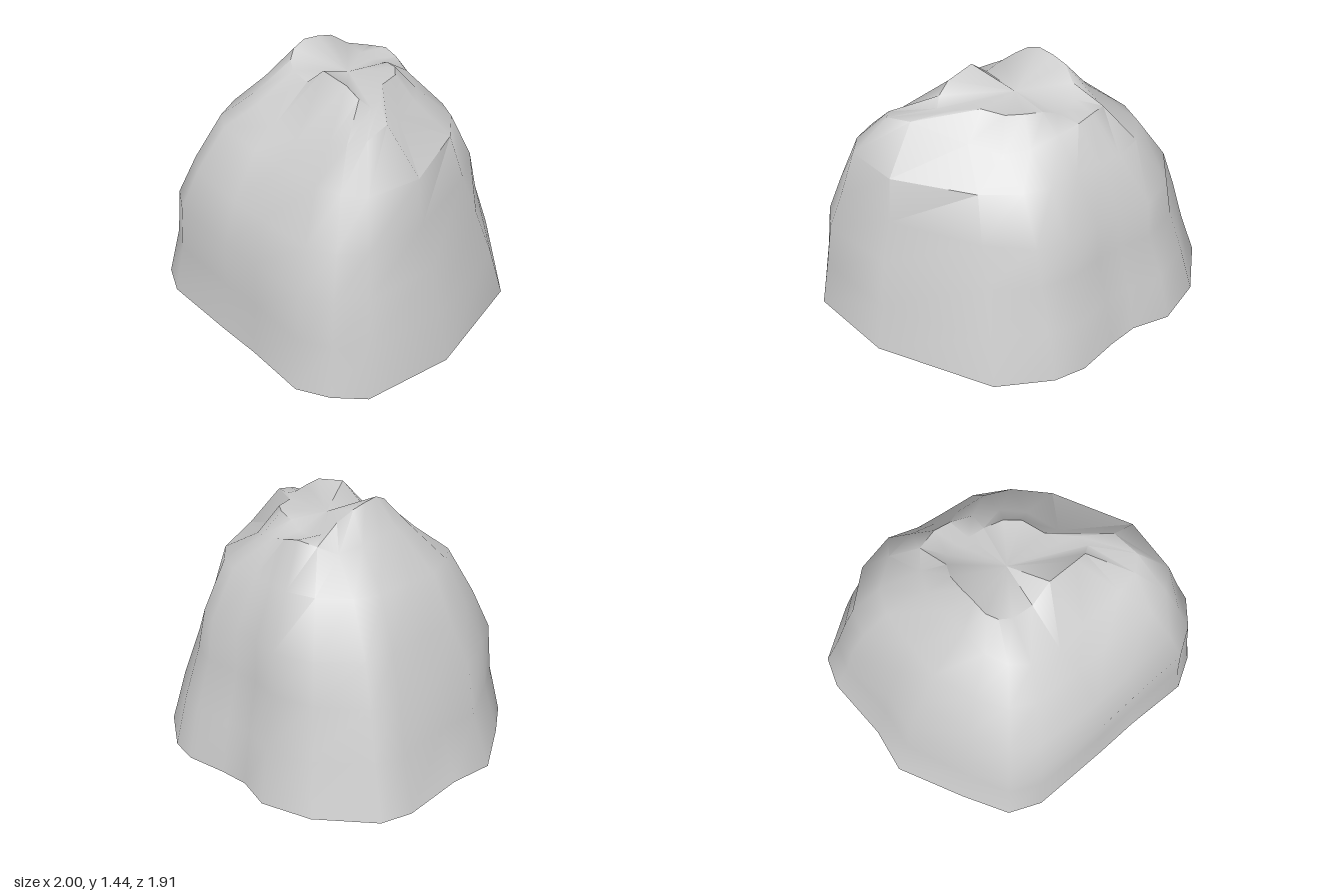
import * as THREE from 'three';
import { toCreasedNormals } from 'three/addons/utils/BufferGeometryUtils.js';

// Ground outline [x, z], running from +x round through +z
const BASE = [
  [1, 0.22], [0.91, 0.74], [0.76, 0.87], [0.58, 0.95], [0.2, 0.9],
  [-0.06, 0.88], [-0.55, 0.83], [-0.73, 0.73], [-0.85, 0.46], [-1, 0.06],
  [-0.93, -0.2], [-0.9, -0.6], [-0.82, -0.77], [-0.5, -0.94], [-0.2, -0.96],
  [0, -0.85], [0.18, -0.82], [0.43, -0.8], [0.6, -0.72], [0.84, -0.48],
];

// Rim of the summit [x, z, y], matched point for point with the ground outline
const RIM = [
  [0.57, 0.26, 1.3], [0.58, 0.42, 1.27], [0.5, 0.48, 1.24], [0.38, 0.49, 1.2], [0.12, 0.46, 1.12],
  [-0.06, 0.46, 1.13], [-0.24, 0.42, 1.18], [-0.33, 0.34, 1.2], [-0.38, 0.22, 1.24], [-0.38, 0.06, 1.27],
  [-0.37, -0.1, 1.27], [-0.35, -0.24, 1.25], [-0.28, -0.36, 1.22], [-0.2, -0.44, 1.27], [-0.08, -0.45, 1.29],
  [0.02, -0.43, 1.27], [0.14, -0.38, 1.24], [0.28, -0.31, 1.2], [0.38, -0.2, 1.18], [0.42, 0, 1.18],
];

// Heights of the peaks and saddles inside the rim
const CREST = [
  1.33, 1.32, 1.36, 1.41, 1.43, 1.32, 1.34, 1.37, 1.41, 1.44,
  1.43, 1.41, 1.35, 1.29, 1.27, 1.28, 1.32, 1.34, 1.34, 1.34,
];

// Wall levels: how far each side has moved from ground outline to rim
const LEVELS = [
  { y: 0.29, xp: 0.13, xn: 0.17, zp: 0.08, zn: 0.13 },
  { y: 0.56, xp: 0.28, xn: 0.24, zp: 0.09, zn: 0.3 },
  { y: 0.79, xp: 0.45, xn: 0.43, zp: 0.29, zn: 0.33 },
  { y: 1.06, xp: 0.51, xn: 0.62, zp: 0.67, zn: 0.69 },
];

function wallRing({ y, xp, xn, zp, zn }) {
  return BASE.map(([x, z], i) => {
    const [rx, rz, ry] = RIM[i];
    const wx = (x * x) / (x * x + z * z);
    const t = wx * (x > 0 ? xp : xn) + (1 - wx) * (z > 0 ? zp : zn);
    return [THREE.MathUtils.lerp(x, rx, t), Math.min(y, ry * 0.92), THREE.MathUtils.lerp(z, rz, t)];
  });
}

function buildGeometry(points, index) {
  const geometry = new THREE.BufferGeometry();
  geometry.setAttribute('position', new THREE.Float32BufferAttribute(points.flat(), 3));
  geometry.setIndex(index);
  return geometry;
}

export function createModel() {
  const group = new THREE.Group();
  group.name = 'boulder';
  const material = new THREE.MeshStandardMaterial({ color: 0xcccccc, roughness: 0.9 });
  const n = BASE.length;
  const ground = BASE.map(([x, z]) => [x, 0, z]);

  // Walls and summit: rings joined by quads, closed at the top by a fan
  const rings = [
    ground,
    ...LEVELS.map(wallRing),
    RIM.map(([x, z, y]) => [x, y, z]),
    RIM.map(([x, z], i) => [0.02 + (x - 0.02) * 0.7, CREST[i], z * (z > 0 ? 0.5 : 0.68)]),
  ];
  const points = [...rings.flat(), [0.03, 1.32, -0.02]];
  const index = [];
  for (let r = 0; r < rings.length; r++) {
    for (let i = 0; i < n; i++) {
      const j = (i + 1) % n;
      const a = r * n + i, b = r * n + j;
      if (r === rings.length - 1) index.push(a, points.length - 1, b);
      else index.push(a, a + n, b, b, a + n, b + n);
    }
  }
  const rock = new THREE.Mesh(toCreasedNormals(buildGeometry(points, index), 0.85), material);
  rock.name = 'rockBody';
  group.add(rock);

  // Flat underside
  const fan = [];
  for (let i = 0; i < n; i++) fan.push(n, i, (i + 1) % n);
  const bottom = buildGeometry([...ground, [0, 0, 0]], fan);
  bottom.computeVertexNormals();
  const underside = new THREE.Mesh(bottom, material);
  underside.name = 'underside';
  group.add(underside);

  return group;
}
